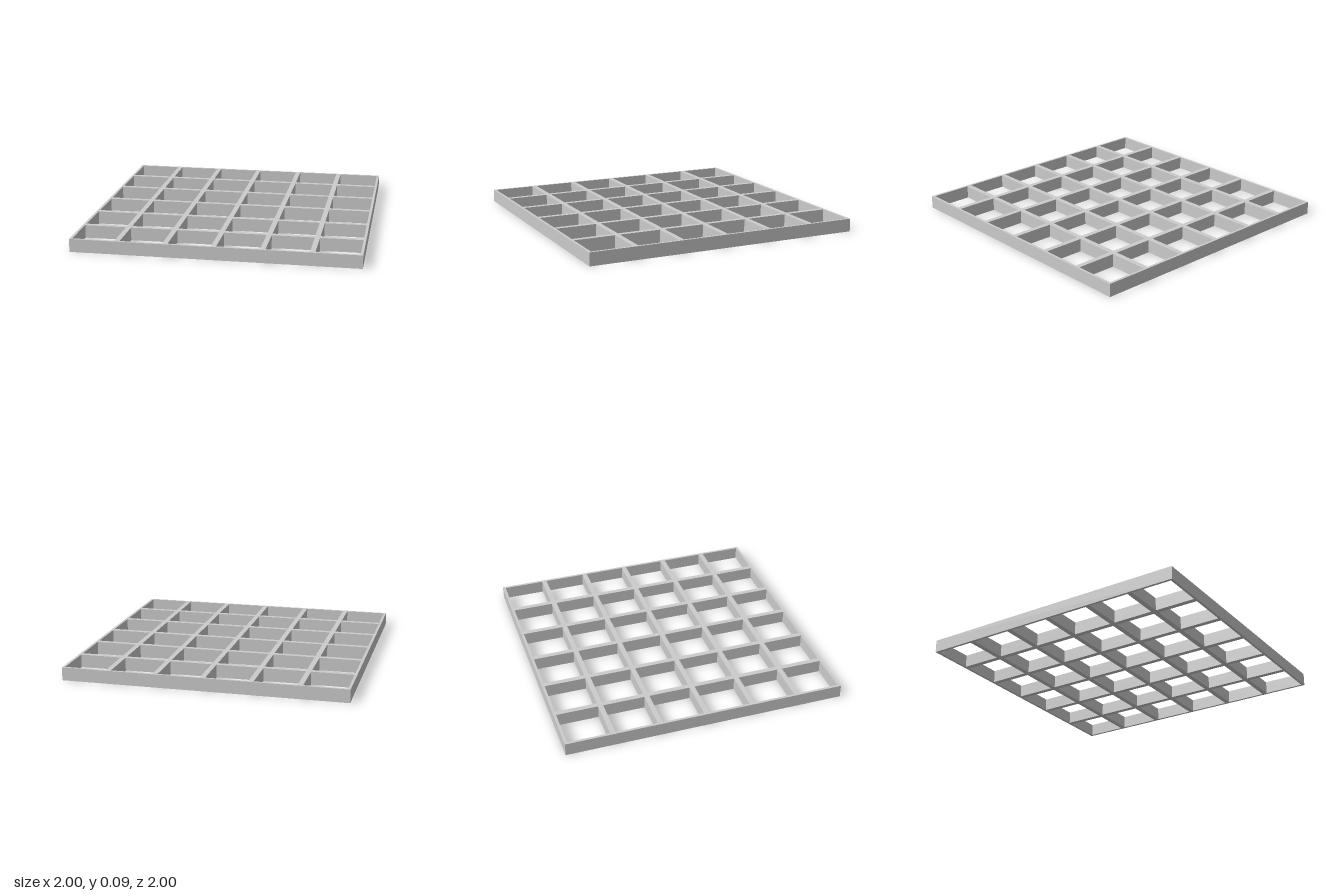
import * as THREE from 'three';

const CELLS = 6;
const PITCH = 2 / CELLS;
const OPENING = 0.297;
const HEIGHT = 0.093;

// Square outline centred on (x, y)
function square(PathType, x, y, size) {
  const h = size / 2;
  return new PathType([
    new THREE.Vector2(x - h, y - h),
    new THREE.Vector2(x + h, y - h),
    new THREE.Vector2(x + h, y + h),
    new THREE.Vector2(x - h, y + h),
  ]).closePath();
}

export function createModel() {
  const group = new THREE.Group();
  group.name = 'gratingPanel';

  // Slab pierced by a regular array of square openings
  const slab = square(THREE.Shape, 0, 0, 2);
  for (let i = 0; i < CELLS; i++) {
    for (let j = 0; j < CELLS; j++) {
      const x = -1 + (i + 0.5) * PITCH;
      const y = -1 + (j + 0.5) * PITCH;
      slab.holes.push(square(THREE.Path, x, y, OPENING));
    }
  }

  // Extrude upward and lay flat on the ground
  const geometry = new THREE.ExtrudeGeometry(slab, { depth: HEIGHT, bevelEnabled: false });
  geometry.rotateX(-Math.PI / 2);

  const grating = new THREE.Mesh(geometry, new THREE.MeshStandardMaterial({ color: 0xcccccc }));
  grating.name = 'grating';
  group.add(grating);
  return group;
}
